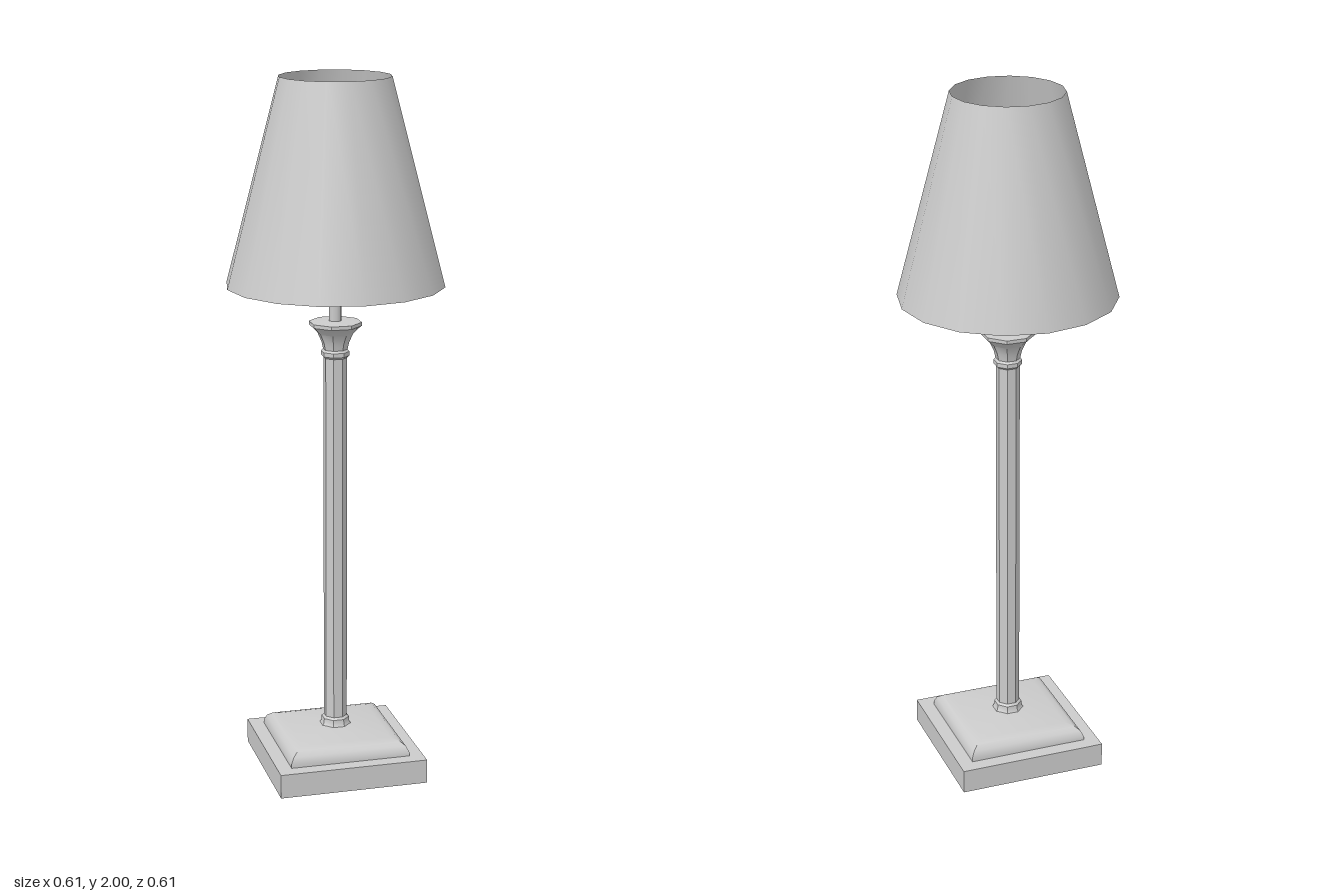
import * as THREE from 'three';
import { toCreasedNormals } from 'three/addons/utils/BufferGeometryUtils.js';

const grey = new THREE.MeshStandardMaterial({ color: 0xcccccc });
const thin = new THREE.MeshStandardMaterial({ color: 0xcccccc, side: THREE.DoubleSide });

// Revolved profile of [half-width, height] points. With flat = true a flat side
// faces the front and the given half-widths are measured across the flats.
function turned(name, profile, sides, { flat = false, crease = 0.6, material = grey } = {}) {
  const k = flat ? 1 / Math.cos(Math.PI / sides) : 1;
  const points = profile.map(([r, y]) => new THREE.Vector2(r * k, y));
  let geometry = new THREE.LatheGeometry(points, sides);
  if (flat) geometry.rotateY(Math.PI / sides);
  if (crease) geometry = toCreasedNormals(geometry, crease);
  const mesh = new THREE.Mesh(geometry, material);
  mesh.name = name;
  return mesh;
}

export function createModel() {
  const lamp = new THREE.Group();
  lamp.name = 'tableLamp';

  // Square foot
  const plinth = new THREE.Mesh(new THREE.BoxGeometry(0.43, 0.07, 0.43), grey);
  plinth.position.y = 0.035;
  plinth.name = 'basePlinth';
  lamp.add(plinth);

  // Cushion-shaped upper tier
  lamp.add(turned('baseCushion', [
    [0.174, 0.068], [0.174, 0.082], [0.166, 0.098], [0.152, 0.109],
    [0.13, 0.115], [0.045, 0.124], [0, 0.126],
  ], 4, { flat: true, crease: 0.7 }));

  // Octagonal column with its lower collar
  lamp.add(turned('column', [
    [0.045, 0.12], [0.038, 0.13], [0.037, 0.144], [0.031, 0.15], [0.031, 1.235],
  ], 8, { flat: true }));

  // Collar and flared capital
  lamp.add(turned('capital', [
    [0.031, 1.218], [0.037, 1.224], [0.037, 1.236], [0.032, 1.242], [0.036, 1.262],
    [0.047, 1.288], [0.062, 1.304], [0.069, 1.31], [0.069, 1.32], [0, 1.324],
  ], 8, { flat: true }));

  // Stem carrying the bulb
  lamp.add(turned('stem', [[0.018, 1.31], [0.018, 1.54]], 8, { crease: 0 }));

  // Pear-shaped bulb
  lamp.add(turned('bulb', [
    [0.018, 1.53], [0.045, 1.57], [0.06, 1.62], [0.077, 1.7], [0.089, 1.79],
    [0.083, 1.84], [0.064, 1.88], [0.034, 1.903], [0, 1.91],
  ], 8, { crease: 0 }));

  // Open conical shade
  lamp.add(turned('shade', [[0.306, 1.425], [0.156, 2]], 16, { crease: 0, material: thin }));

  return lamp;
}
